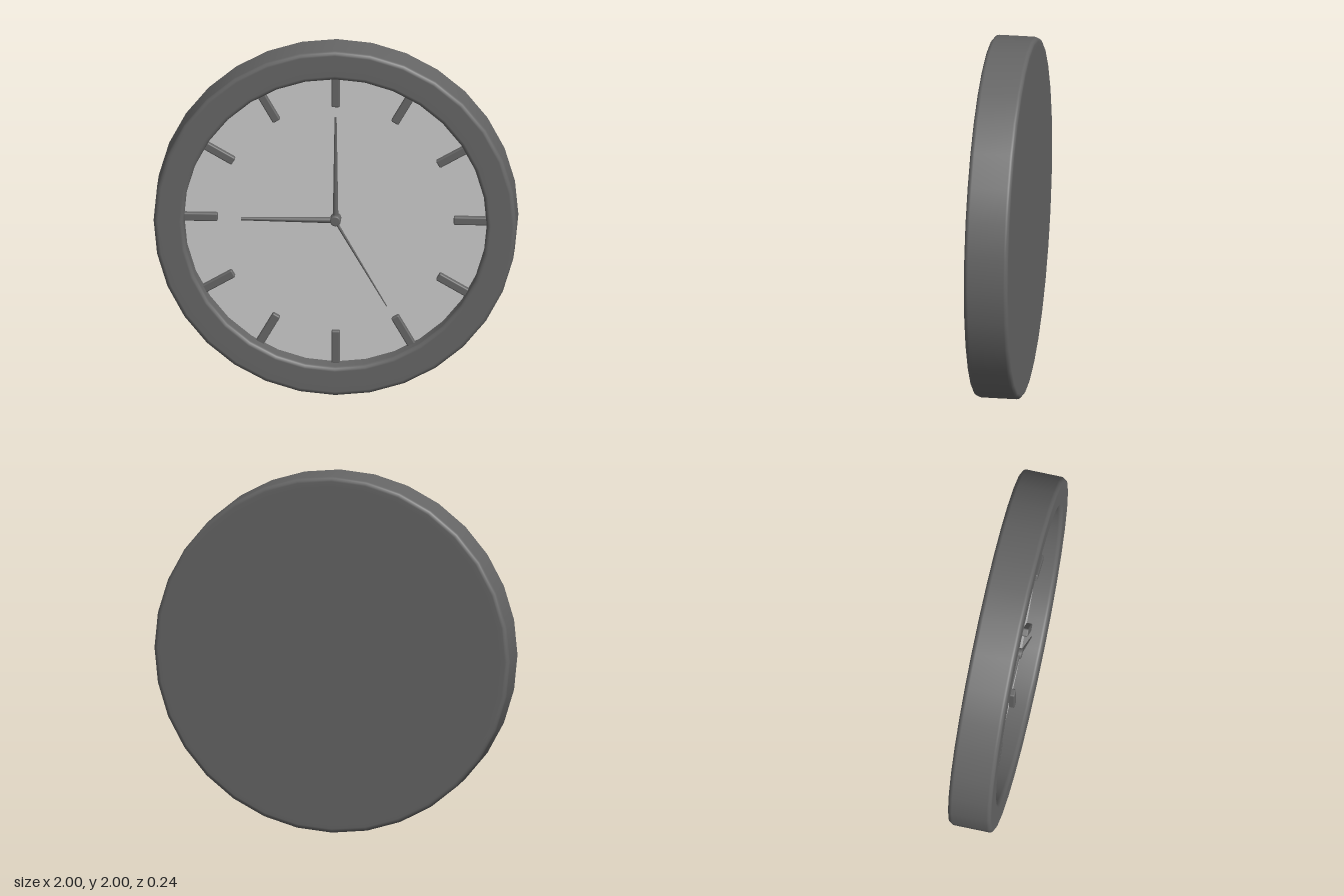
import * as THREE from 'three';
import { RoundedBoxGeometry } from 'three/addons/geometries/RoundedBoxGeometry.js';

const SIDES = 32, HALF = 0.122, DIAL_Z = 0.01;

// Quarter-round points for a profile corner
function corner(cx, cy, r, from, to, steps = 4) {
  return Array.from({ length: steps + 1 }, (_, i) => {
    const a = THREE.MathUtils.degToRad(from + (to - from) * i / steps);
    return new THREE.Vector2(cx + r * Math.cos(a), cy + r * Math.sin(a));
  });
}

export function createModel() {
  const clock = new THREE.Group();
  clock.name = 'wallClock';
  const face = new THREE.Group();
  face.name = 'clockBody';
  face.position.y = 1;
  clock.add(face);

  const dark = new THREE.MeshStandardMaterial({ color: 0x666666 });
  const pale = new THREE.MeshStandardMaterial({ color: 0xcccccc });

  const add = (name, geometry, material) => {
    const mesh = new THREE.Mesh(geometry, material);
    mesh.name = name;
    face.add(mesh);
    return mesh;
  };

  // Casing: closed back, outer wall, rounded front rim and recessed inner wall
  const b = 0.024;
  const profile = [
    new THREE.Vector2(0, -HALF),
    new THREE.Vector2(0.95, -HALF),
    ...corner(1 - b, -HALF + b, b, -90, 0),
    ...corner(1 - b, HALF - b, b, 0, 90),
    ...corner(0.835 + b, HALF - b, b, 90, 180),
    new THREE.Vector2(0.835, DIAL_Z - 0.01),
  ];
  add('casing', new THREE.LatheGeometry(profile, SIDES).rotateX(Math.PI / 2), dark);

  // Dial
  add('dial', new THREE.CircleGeometry(0.845, SIDES), pale).position.z = DIAL_Z;

  // Hour markers
  const markerGeometry = new RoundedBoxGeometry(0.046, 0.19, 0.04, 2, 0.008);
  markerGeometry.translate(0, 0.745, DIAL_Z + 0.012);
  for (let i = 0; i < 12; i++) {
    add('hourMarker' + (i + 1), markerGeometry, dark).rotation.z = -(i + 1) * Math.PI / 6;
  }

  // Tapered hands, angle measured in hours clockwise from the top
  const hand = (name, hour, length, baseRadius, tipRadius, z) => {
    const geometry = new THREE.CylinderGeometry(tipRadius, baseRadius, length, 10);
    geometry.translate(0, length / 2, 0);
    const mesh = add(name, geometry, dark);
    mesh.rotation.z = -hour * Math.PI / 6;
    mesh.position.z = z;
  };
  hand('minuteHand', 12, 0.595, 0.016, 0.006, 0.045);
  hand('hourHand', 9, 0.52, 0.017, 0.009, 0.055);
  hand('secondHand', 5, 0.565, 0.008, 0.003, 0.07);

  // Centre hub with a rounded cap
  const hubProfile = [
    new THREE.Vector2(0.03, 0),
    ...corner(0.022, 0.072, 0.008, 0, 90, 3),
    new THREE.Vector2(0, 0.08),
  ];
  add('hub', new THREE.LatheGeometry(hubProfile, 16).rotateX(Math.PI / 2), dark);

  return clock;
}
